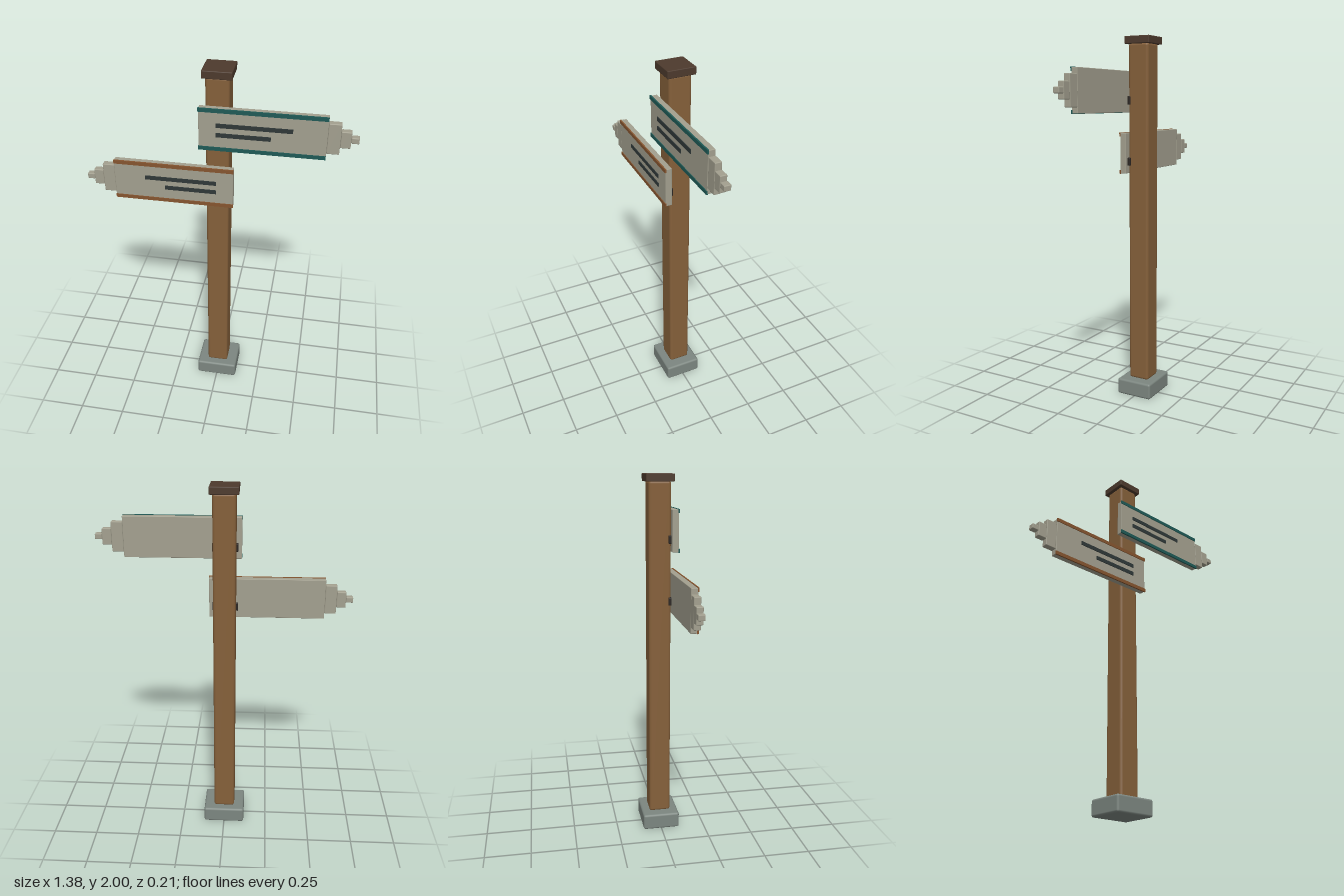
import * as THREE from 'three';
import { RoundedBoxGeometry } from 'three/addons/geometries/RoundedBoxGeometry.js';

const mat = (color) => new THREE.MeshStandardMaterial({ color });
const wood = mat(0x85603a);
const darkWood = mat(0x4d3a2d);
const stone = mat(0x7c8680);
const plank = mat(0xa3a08f);
const teal = mat(0x1f5a56);
const brown = mat(0x86552f);
const ink = mat(0x2f3838);
const iron = mat(0x2b2623);

// Box given by its [min, max] range on each axis, with an optional rounded edge
function block(parent, name, material, [x0, x1], [y0, y1], [z0, z1], radius = 0) {
  const size = [x1 - x0, y1 - y0, z1 - z0];
  const geometry = radius
    ? new RoundedBoxGeometry(...size, 2, radius)
    : new THREE.BoxGeometry(...size);
  const mesh = new THREE.Mesh(geometry, material);
  mesh.name = name;
  mesh.position.set((x0 + x1) / 2, (y0 + y1) / 2, (z0 + z1) / 2);
  parent.add(mesh);
}

// Sign pointing along dir (+1 or -1) in x, centred on height y
function createSign(name, y, dir, trimMaterial) {
  const sign = new THREE.Group();
  sign.name = name;
  sign.position.y = y;
  const span = (a, b) => (dir > 0 ? [a, b] : [-b, -a]);

  block(sign, 'board', plank, span(-0.088, 0.54), [-0.11, 0.11], [0.06, 0.096], 0.003);

  // Coloured strips along the top and bottom edges
  for (const [part, y0] of [['topTrim', 0.092], ['bottomTrim', -0.112]]) {
    block(sign, part, trimMaterial, span(-0.09, 0.54), [y0, y0 + 0.02], [0.092, 0.1]);
  }

  // Stepped pointer
  const steps = [
    [0.54, 0.602, 0.08],
    [0.602, 0.652, 0.043],
    [0.652, 0.69, 0.015],
  ];
  for (const [x0, x1, h] of steps) {
    block(sign, 'pointerStep', plank, span(x0, x1), [-h, h], [0.06, 0.095], 0.004);
  }

  // Raised bars in place of writing
  block(sign, 'longBar', ink, span(0, 0.375), [0.014, 0.036], [0.094, 0.1]);
  block(sign, 'shortBar', ink, span(0, 0.27), [-0.037, -0.015], [0.094, 0.1]);

  // Bracket behind the board, passing through the post
  block(sign, 'bracket', iron, [-0.07, 0.07], [-0.068, -0.024], [0.045, 0.064], 0.004);
  return sign;
}

export function createModel() {
  const model = new THREE.Group();
  model.name = 'signpost';

  block(model, 'base', stone, [-0.118, 0.118], [0, 0.09], [-0.104, 0.104], 0.012);
  block(model, 'post', wood, [-0.06, 0.06], [0.085, 1.965], [-0.06, 0.06], 0.015);
  block(model, 'cap', darkWood, [-0.075, 0.075], [1.96, 2], [-0.075, 0.075], 0.004);

  model.add(createSign('upperSign', 1.71, 1, teal));
  model.add(createSign('lowerSign', 1.38, -1, brown));
  return model;
}
